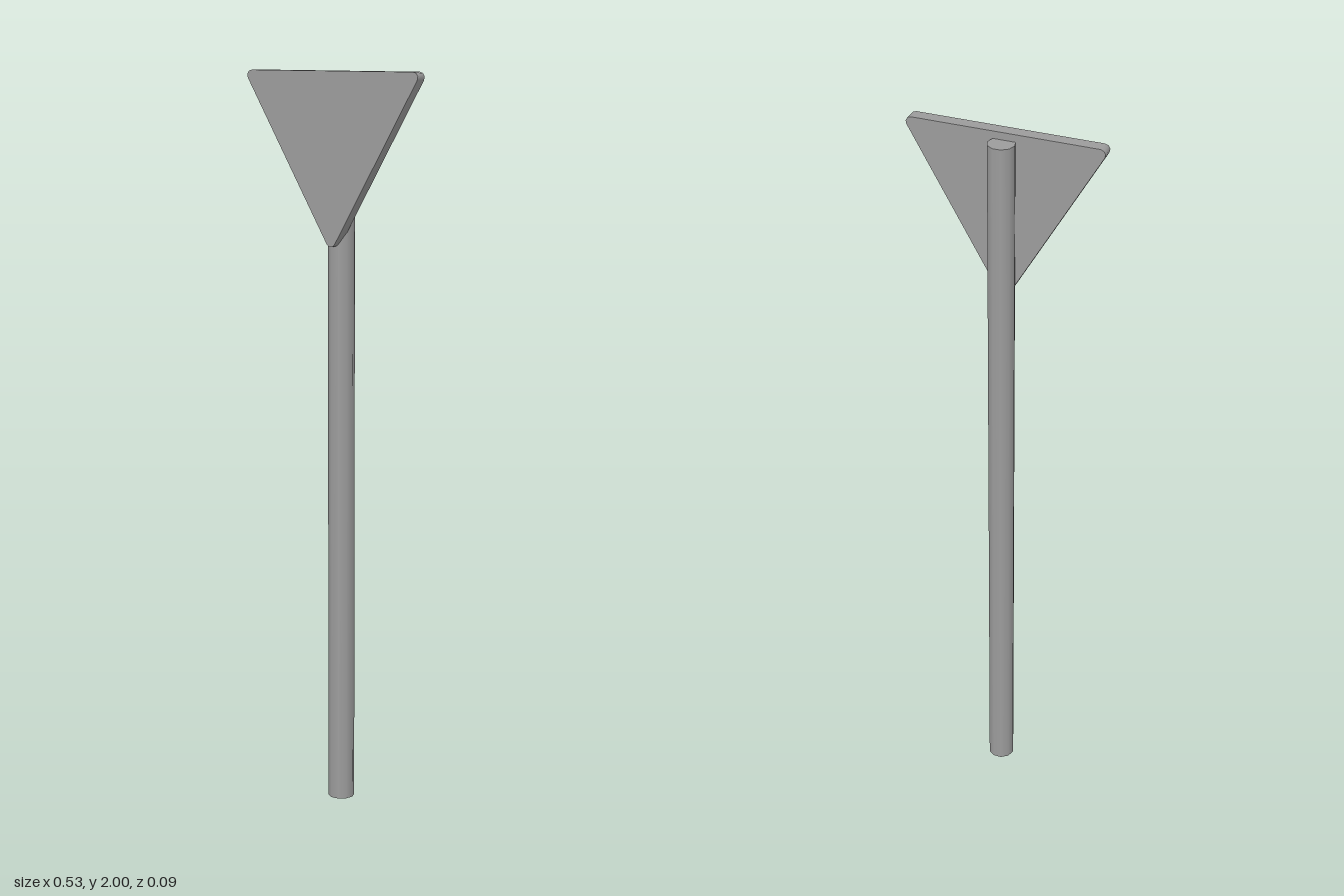
import * as THREE from 'three';
import { toCreasedNormals } from 'three/addons/utils/BufferGeometryUtils.js';

export function createModel() {
  const model = new THREE.Group();
  const material = new THREE.MeshStandardMaterial({ color: 0x9c9c9c });

  // Smooth-shaded ten-sided pole with a facet facing straight back
  const poleHeight = 1.98;
  const poleGeometry = new THREE.CylinderGeometry(0.036, 0.036, poleHeight, 10);
  poleGeometry.rotateY(Math.PI / 10);
  const pole = new THREE.Mesh(poleGeometry, material);
  pole.name = 'pole';
  pole.position.set(0, poleHeight / 2, -0.01);
  model.add(pole);

  // Downward-pointing equilateral plate; each corner is a three-segment arc
  const half = 0.273, radius = 0.014, top = 2, root3 = Math.sqrt(3);
  const cornerX = half - root3 * radius;
  const centres = [
    [cornerX, top - radius],
    [-cornerX, top - radius],
    [0, top - root3 * half + 2 * radius],
  ];
  const outline = [];
  centres.forEach(([x, y], i) => {
    for (let k = 0; k <= 3; k++) {
      const angle = THREE.MathUtils.degToRad(-30 + 120 * i + 40 * k);
      outline.push(new THREE.Vector2(x + radius * Math.cos(angle), y + radius * Math.sin(angle)));
    }
  });
  const plateGeometry = new THREE.ExtrudeGeometry(new THREE.Shape(outline), {
    depth: 0.035,
    bevelEnabled: false,
  });
  const plate = new THREE.Mesh(toCreasedNormals(plateGeometry, 1), material);
  plate.name = 'signPlate';
  plate.position.z = 0.009;
  model.add(plate);

  return model;
}
